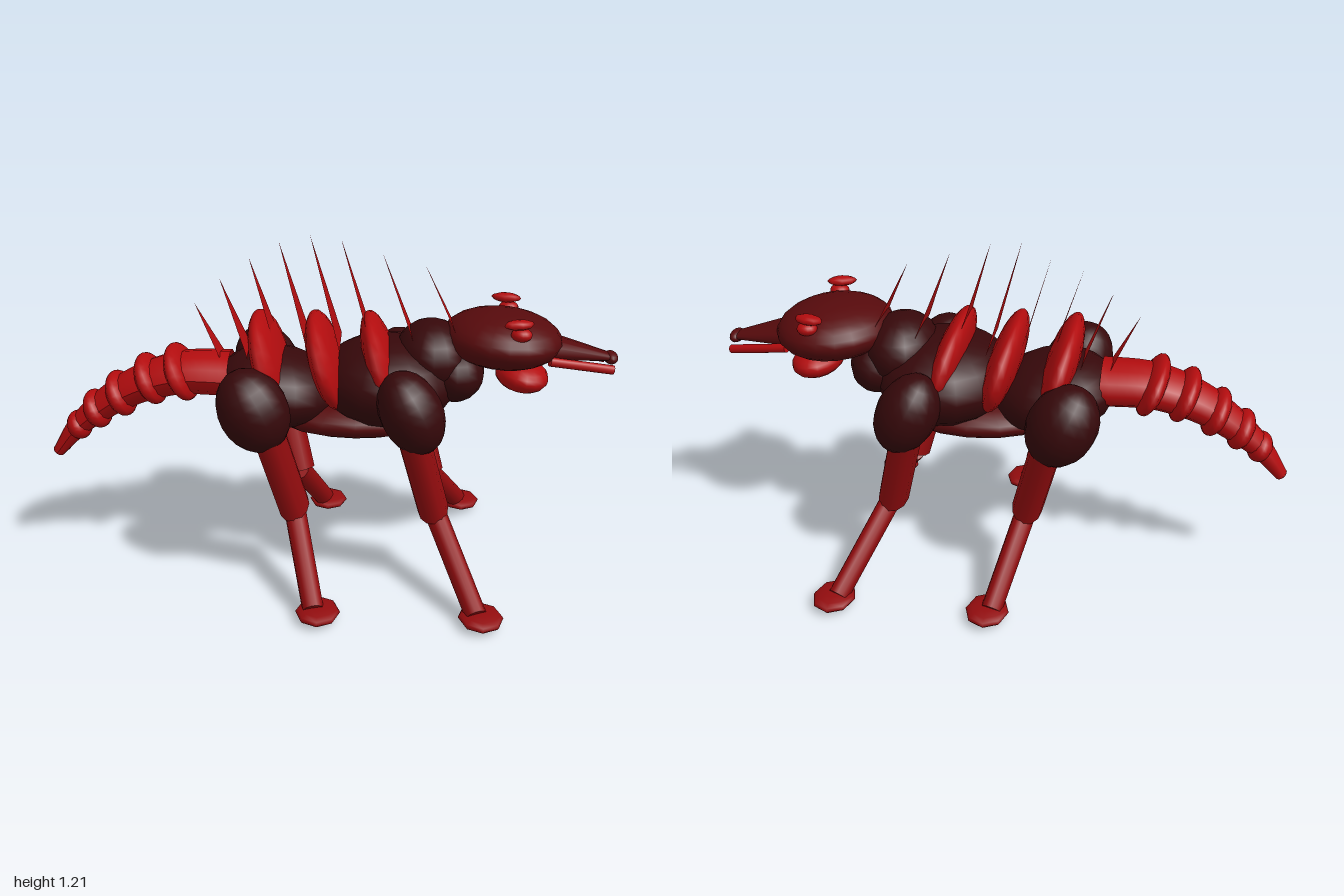
import * as THREE from 'three';

export function createModel() {
  const root = new THREE.Group();
  const mat = (name, color) => {
    const m = new THREE.MeshStandardMaterial({ color, side: THREE.DoubleSide });
    m.name = name;
    return m;
  };
  const hide = mat('dark hide', 0x36080a);
  const crimson = mat('head crimson', 0x560a0c);
  const red = mat('bright red', 0xb20c0e);
  const legRed = mat('leg red', 0x920c0e);

  const add = (name, geo, material) => {
    const m = new THREE.Mesh(geo, material);
    m.name = name;
    root.add(m);
    return m;
  };
  // Ellipsoid at p with radii r, optionally tilted about z
  const blob = (name, p, r, material, tilt = 0, w = 16, h = 12) => {
    const m = add(name, new THREE.SphereGeometry(1, w, h), material);
    m.position.set(...p);
    m.scale.set(...r);
    m.rotation.z = tilt;
    return m;
  };
  // Tapered rod from a up to b; flat stretches its section in z
  const limb = (name, a, b, ra, rb, material, flat = 1) => {
    const A = new THREE.Vector3(...a), B = new THREE.Vector3(...b);
    const dir = B.clone().sub(A);
    const geo = new THREE.CylinderGeometry(rb, ra, dir.length(), 12);
    geo.scale(1, 1, flat);
    const m = add(name, geo, material);
    m.position.copy(A).add(B).multiplyScalar(0.5);
    m.quaternion.setFromUnitVectors(new THREE.Vector3(0, 1, 0), dir.normalize());
    return m;
  };

  // Trunk and neck
  blob('hips', [-0.18, 0.67, 0], [0.215, 0.135, 0.23], hide, -0.15);
  blob('chest', [0.21, 0.7, 0], [0.24, 0.155, 0.27], hide);
  blob('belly', [0.1, 0.575, 0], [0.3, 0.07, 0.19], crimson);
  blob('neckBase', [0.36, 0.79, 0], [0.13, 0.125, 0.17], hide);
  blob('throat', [0.44, 0.735, 0], [0.105, 0.105, 0.16], hide);

  // Rib bands wrapping the back
  for (const x of [-0.2, -0.005, 0.185])
    blob('ribBand', [x, 0.77, 0], [0.056, 0.17, 0.26], red, 0.3);

  // Row of flat back spines leaning towards the tail: tip x, tip y, half width
  const spines = [[-0.46, 0.965, 0.065], [-0.37, 1.05, 0.085], [-0.268, 1.125, 0.1],
    [-0.165, 1.18, 0.115], [-0.06, 1.205, 0.125], [0.045, 1.192, 0.12],
    [0.185, 1.145, 0.11], [0.33, 1.105, 0.1]];
  spines.forEach(([x, y, w], i) => {
    const bx = x + 0.105, by = 0.75 + 0.02 * i;
    const geo = new THREE.BufferGeometry();
    geo.setAttribute('position', new THREE.Float32BufferAttribute(
      [bx, by, w, bx, by, -w, x, y, 0], 3));
    geo.computeVertexNormals();
    add('backSpine', geo, red);
  });

  // Head, snout and jaw
  blob('head', [0.6, 0.855, 0], [0.205, 0.097, 0.222], crimson, -0.05, 20, 14);
  limb('snout', [0.74, 0.83, 0], [0.98, 0.79, 0], 0.045, 0.012, crimson, 2.6);
  blob('nose', [0.976, 0.788, 0], [0.024, 0.022, 0.043], crimson);
  blob('jaw', [0.675, 0.722, 0], [0.092, 0.055, 0.127], red, -0.12);

  // Tail: flattened tapered tube along a drooping curve
  const curve = new THREE.CatmullRomCurve3([
    [-0.34, 0.715], [-0.5, 0.715], [-0.6, 0.693], [-0.7, 0.652],
    [-0.8, 0.588], [-0.9, 0.505], [-0.98, 0.405],
  ].map(([x, y]) => new THREE.Vector3(x, y, 0)));
  const steps = 24, sides = 12;
  const tail = new THREE.TubeGeometry(curve, steps, 1, sides);
  const pos = tail.attributes.position, v = new THREE.Vector3();
  for (let i = 0; i < pos.count; i++) {
    const t = Math.floor(i / (sides + 1)) / steps;
    const c = curve.getPointAt(t), r = 0.077 - 0.055 * t * t;
    v.fromBufferAttribute(pos, i).sub(c).multiplyScalar(r);
    v.z *= 1.55 - 0.25 * t;
    pos.setXYZ(i, c.x + v.x, c.y + v.y, v.z);
  }
  tail.computeVertexNormals();
  add('tail', tail, red);
  blob('tailTip', [-0.98, 0.406, 0], [0.022, 0.008, 0.029], red, -0.67);

  // Tail rings: x, y, height radius, width radius
  for (const [x, y, h, w] of [[-0.515, 0.717, 0.102, 0.16], [-0.625, 0.69, 0.092, 0.135],
    [-0.735, 0.633, 0.082, 0.115], [-0.825, 0.573, 0.07, 0.093], [-0.895, 0.51, 0.052, 0.068]])
    blob('tailRing', [x, y, 0], [0.042, h, w], red, 0.42);

  // Mirrored parts
  for (const s of [1, -1]) {
    blob('eye', [0.64, 0.915, s * 0.178], [0.035, 0.023, 0.033], red);
    const brow = blob('brow', [0.63, 0.95, s * 0.182], [0.053, 0.017, 0.03], red, 0, 8, 6);
    brow.rotation.y = s * 0.3;
    limb('mandible', [0.75, 0.803, s * 0.108], [0.972, 0.764, s * 0.068], 0.016, 0.016, red);

    // Legs: shoulder, hip, knee and foot positions
    for (const [n, sx, sr, hx, kx, fx, fz] of [['rear', -0.235, 0.118, -0.19, -0.11, -0.02, 0.44],
      ['front', 0.285, 0.105, 0.29, 0.375, 0.52, 0.455]]) {
      blob(n + 'Shoulder', [sx, 0.67, s * 0.26], [sr, 0.148, 0.122], hide, 0.45);
      limb(n + 'UpperLeg', [kx, 0.278, s * 0.163], [hx, 0.6, s * 0.255], 0.054, 0.054, legRed, 1.5);
      limb(n + 'LowerLeg', [fx - 0.01, 0.03, s * fz], [kx - 0.005, 0.29, s * 0.145], 0.036, 0.038, legRed, 1.2);
      blob(n + 'Foot', [fx + 0.005, 0.024, s * fz], [0.075, 0.022, 0.09], legRed, 0, 8, 8);
    }
  }
  return root;
}
